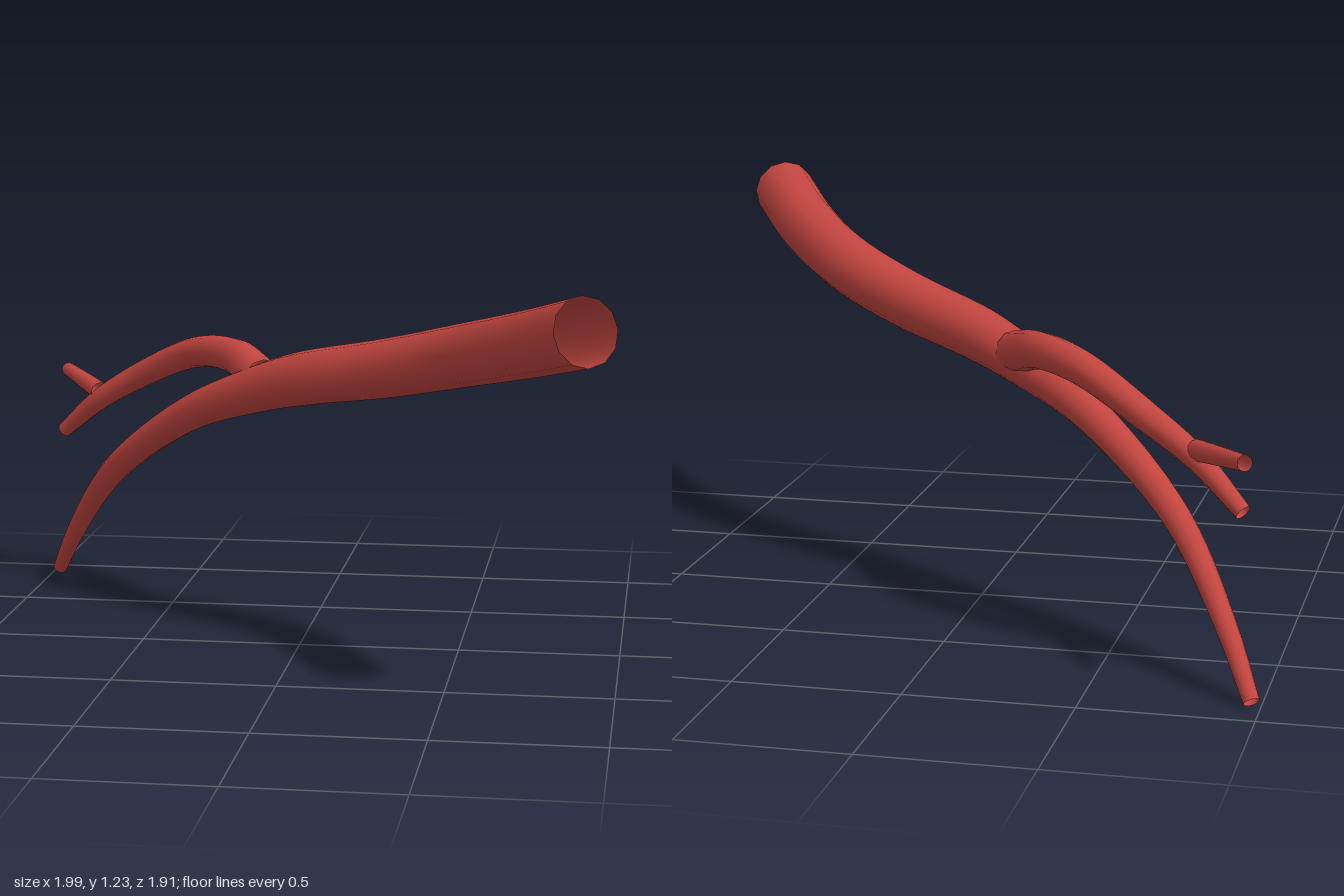
import * as THREE from 'three';

const SIDES = 12;

// Open tube along a smooth path; each point is [x, y, z, radius]
function taperedTube(name, points, steps, material) {
  const curve = new THREE.CatmullRomCurve3(
    points.map(([x, y, z]) => new THREE.Vector3(x, y, z)), false, 'centripetal');
  const geometry = new THREE.TubeGeometry(curve, steps, 1, SIDES, false);
  const position = geometry.attributes.position;
  const v = new THREE.Vector3();
  for (let i = 0; i <= steps; i++) {
    const u = i / steps;
    const centre = curve.getPointAt(u);
    // blend the radius between the neighbouring path points
    const t = curve.getUtoTmapping(u) * (points.length - 1);
    const k = Math.min(Math.floor(t), points.length - 2);
    const radius = THREE.MathUtils.lerp(points[k][3], points[k + 1][3], t - k);
    for (let j = 0; j <= SIDES; j++) {
      const n = i * (SIDES + 1) + j;
      v.fromBufferAttribute(position, n).sub(centre).multiplyScalar(radius).add(centre);
      position.setXYZ(n, v.x, v.y, v.z);
    }
  }
  const mesh = new THREE.Mesh(geometry, material);
  mesh.name = name;
  return mesh;
}

export function createModel() {
  const model = new THREE.Group();
  model.name = 'branchingVessel';
  const red = new THREE.MeshStandardMaterial({ color: 0xc2453f, side: THREE.DoubleSide });
  red.name = 'vesselRed';

  // Wide trunk that narrows into the lower branch
  model.add(taperedTube('mainVessel', [
    [0.91, 1.14, 0.895, 0.1],
    [0.73, 1.06, 0.6, 0.097],
    [0.52, 0.985, 0.34, 0.094],
    [0.28, 0.915, 0.155, 0.09],
    [0, 0.85, -0.025, 0.084],
    [-0.16, 0.795, -0.135, 0.074],
    [-0.4, 0.685, -0.305, 0.057],
    [-0.7, 0.45, -0.54, 0.043],
    [-0.88, 0.2, -0.755, 0.032],
    [-0.975, 0.025, -0.89, 0.024],
  ], 48, red));

  // Arched upper branch
  model.add(taperedTube('upperBranch', [
    [-0.14, 0.825, -0.14, 0.067],
    [-0.26, 0.872, -0.33, 0.056],
    [-0.42, 0.855, -0.49, 0.05],
    [-0.61, 0.765, -0.615, 0.044],
    [-0.78, 0.66, -0.69, 0.036],
    [-0.925, 0.535, -0.775, 0.025],
  ], 32, red));

  // Short straight twig off the upper branch
  model.add(taperedTube('sideTwig', [
    [-0.78, 0.685, -0.69, 0.032],
    [-0.865, 0.703, -0.82, 0.028],
    [-0.95, 0.72, -0.95, 0.023],
  ], 6, red));

  return model;
}
